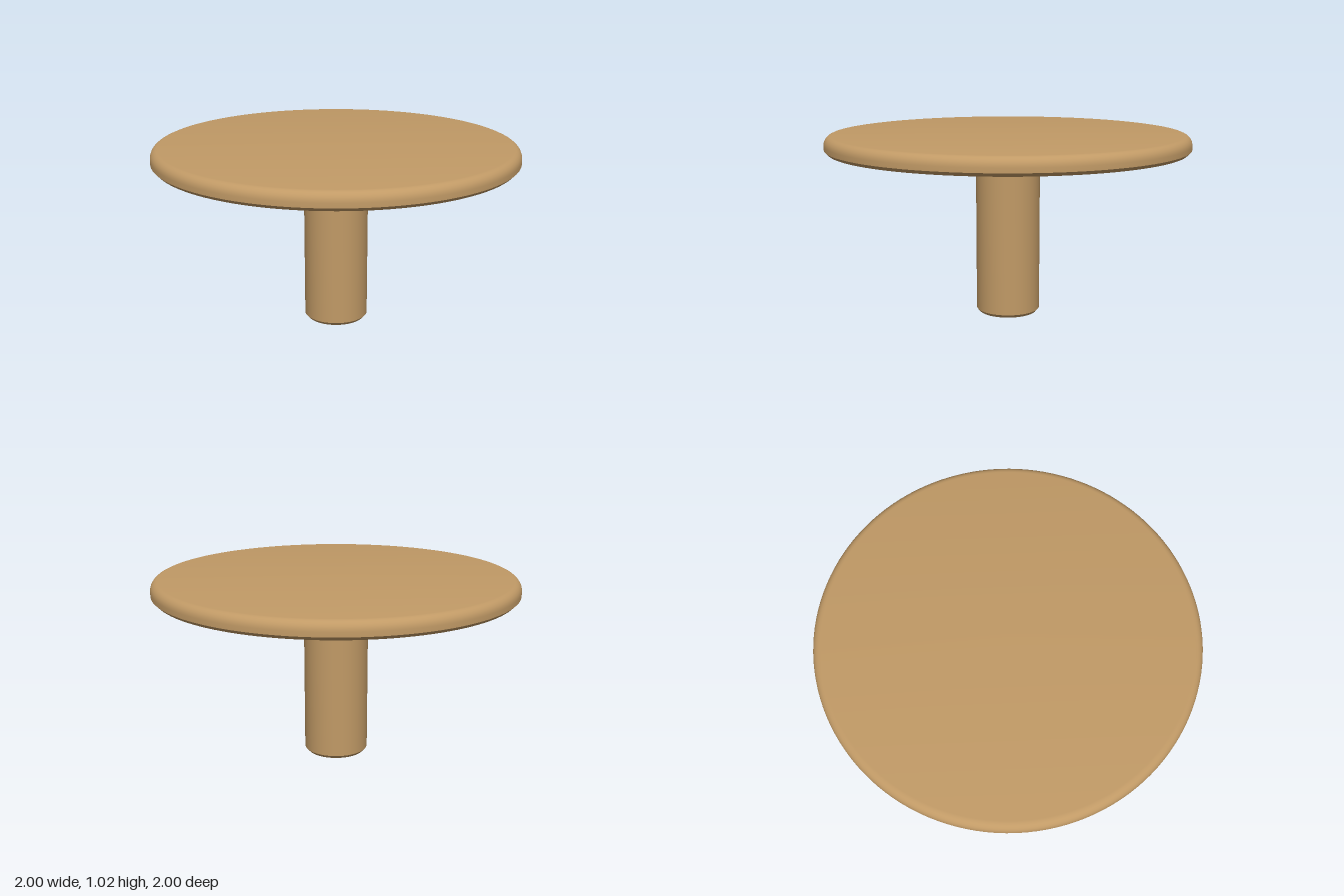
import * as THREE from 'three';
import { toCreasedNormals } from 'three/addons/utils/BufferGeometryUtils.js';

const wood = new THREE.MeshStandardMaterial({ color: 0xc19a66 });
wood.name = 'wood';

// Turns a profile of [radius, height] points, listed from bottom to top
function turned(name, profile, segments) {
  const points = profile.map(([r, y]) => new THREE.Vector2(r, y));
  const geometry = toCreasedNormals(new THREE.LatheGeometry(points, segments), 0.5);
  const mesh = new THREE.Mesh(geometry, wood);
  mesh.name = name;
  return mesh;
}

export function createModel() {
  const model = new THREE.Group();
  model.name = 'pedestalTable';

  // Table top: chamfered underside, rounded upper rim
  const rim = [];
  for (let i = 0; i <= 6; i++) {
    const a = (i / 6) * Math.PI / 2;
    rim.push([0.955 + 0.045 * Math.cos(a), 0.968 + 0.05 * Math.sin(a)]);
  }
  model.add(turned('tableTop', [[0, 0.926], [0.982, 0.926], [1, 0.944], ...rim, [0, 1.018]], 128));

  // Column: chamfered foot, flared collar under the top
  model.add(turned('column', [
    [0, 0], [0.162, 0], [0.178, 0.018], [0.178, 0.908], [0.197, 0.927],
  ], 64));

  return model;
}
